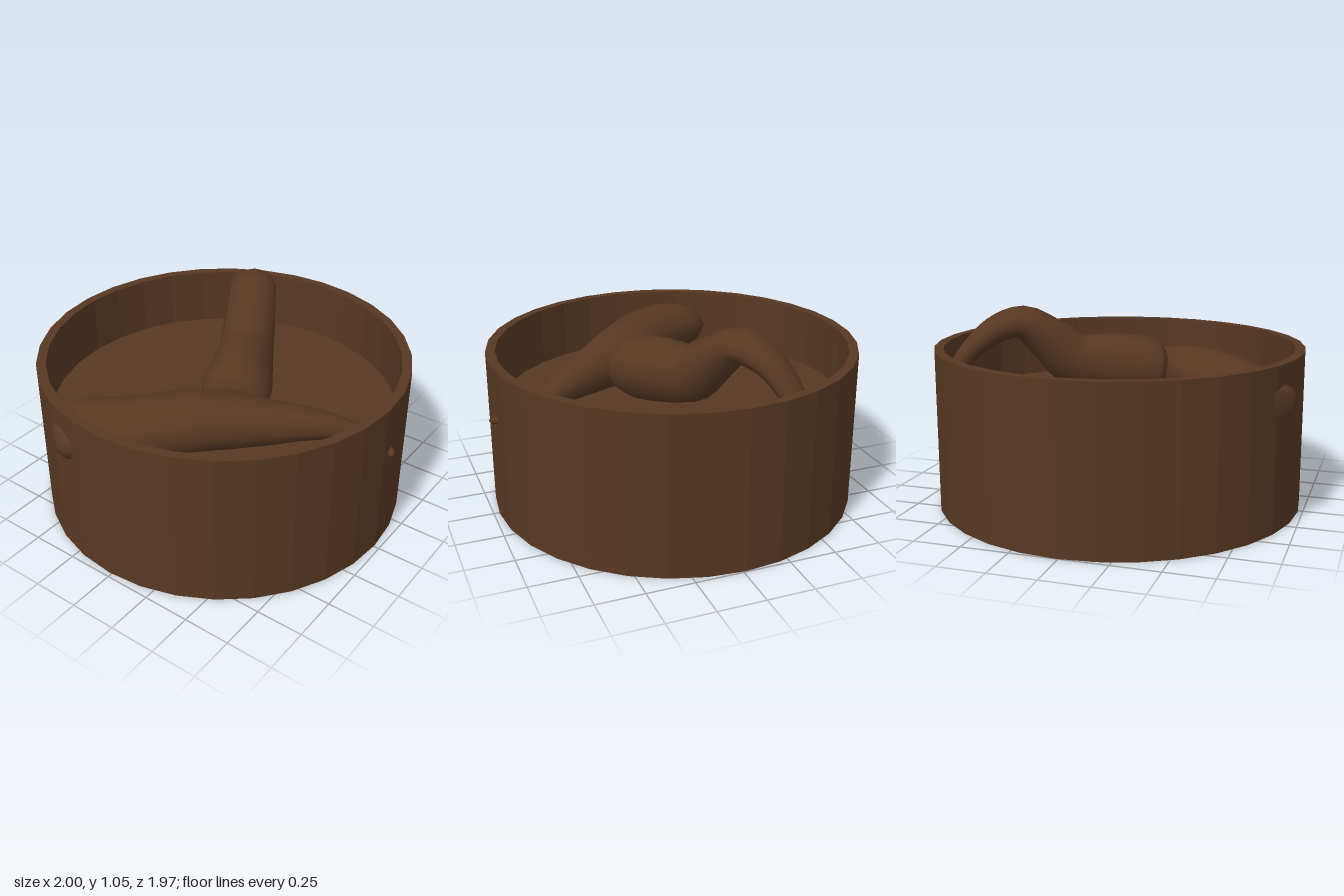
import * as THREE from 'three';

const SIDES = 12, STEPS = 40;

// Duplicates vertices so every face has its own normal
function faceted(geometry) {
  const g = geometry.toNonIndexed();
  g.computeVertexNormals();
  return g;
}

// Smooth horn through stations [x, y, z, halfWidth, halfHeight], listed base to tip
function hornGeometry(stations) {
  const path = new THREE.CatmullRomCurve3(stations.map(s => new THREE.Vector3(s[0], s[1], s[2])));
  const sizes = new THREE.CatmullRomCurve3(stations.map(s => new THREE.Vector3(s[3], s[4], 0)));
  const up = new THREE.Vector3(0, 1, 0);
  const pos = [], index = [];
  for (let i = 0; i <= STEPS; i++) {
    const u = i / STEPS;
    const c = path.getPoint(u), r = sizes.getPoint(u), t = path.getTangent(u);
    const side = new THREE.Vector3().crossVectors(up, t).normalize();
    const over = new THREE.Vector3().crossVectors(t, side);
    for (let j = 0; j < SIDES; j++) {
      const a = j / SIDES * Math.PI * 2;
      const p = c.clone()
        .addScaledVector(side, Math.cos(a) * Math.max(r.x, 0.005))
        .addScaledVector(over, Math.sin(a) * Math.max(r.y, 0.005));
      pos.push(p.x, p.y, p.z);
      if (i < STEPS) {
        const k = (j + 1) % SIDES, b = i * SIDES, n = b + SIDES;
        index.push(b + j, b + k, n + k, b + j, n + k, n + j);
      }
    }
  }
  // End caps
  const first = path.getPoint(0), last = path.getPoint(1), m = (STEPS + 1) * SIDES, e = STEPS * SIDES;
  pos.push(first.x, first.y, first.z, last.x, last.y, last.z);
  for (let j = 0; j < SIDES; j++) {
    const k = (j + 1) % SIDES;
    index.push(m, k, j, m + 1, e + j, e + k);
  }
  const g = new THREE.BufferGeometry();
  g.setAttribute('position', new THREE.Float32BufferAttribute(pos, 3));
  g.setIndex(index);
  g.computeVertexNormals();
  return g;
}

export function createModel() {
  const model = new THREE.Group();
  model.name = 'hornBowl';
  const brown = new THREE.MeshStandardMaterial({ color: 0x573822 });
  brown.name = 'darkBrown';

  const add = (name, geometry) => {
    const mesh = new THREE.Mesh(geometry, brown);
    mesh.name = name;
    model.add(mesh);
    return mesh;
  };

  // Round wall, open above and below the floor
  const R = 0.985, r = 0.935, H = 0.85;
  const profile = [[r, 0], [R, 0], [R, H], [r, H], [r, 0]].map(p => new THREE.Vector2(...p));
  add('wall', faceted(new THREE.LatheGeometry(profile, 32))).position.set(-0.015, 0, -0.01);

  // Floor set halfway up the wall
  add('floor', faceted(new THREE.CylinderGeometry(0.94, 0.94, 0.15, 32))).position.set(-0.015, 0.455, -0.01);

  // Long horn lying across the floor, both ends passing through the wall
  add('lyingHorn', hornGeometry([
    [-0.41, 0.66, 0.89, 0.13, 0.07],
    [-0.38, 0.66, 0.855, 0.185, 0.11],
    [-0.31, 0.66, 0.78, 0.2, 0.14],
    [-0.1, 0.67, 0.63, 0.2, 0.15],
    [0.09, 0.68, 0.43, 0.19, 0.15],
    [0.25, 0.67, 0.29, 0.165, 0.14],
    [0.4, 0.66, 0.18, 0.13, 0.115],
    [0.56, 0.65, 0.06, 0.095, 0.085],
    [0.77, 0.61, -0.075, 0.048, 0.045],
    [0.91, 0.58, -0.105, 0.026, 0.026],
    [0.97, 0.57, -0.075, 0.022, 0.018],
    [0.99, 0.565, -0.055, 0.012, 0.01],
  ]));

  // Arched horn rising from the floor and dipping to the back wall
  add('archedHorn', hornGeometry([
    [0.175, 0.68, 0.185, 0.13, 0.1],
    [0.16, 0.685, 0.15, 0.175, 0.15],
    [0.12, 0.7, 0.06, 0.185, 0.175],
    [0.06, 0.715, -0.06, 0.17, 0.175],
    [-0.04, 0.75, -0.25, 0.15, 0.15],
    [-0.11, 0.87, -0.38, 0.14, 0.12],
    [-0.18, 0.965, -0.5, 0.13, 0.09],
    [-0.25, 0.935, -0.62, 0.11, 0.075],
    [-0.31, 0.85, -0.72, 0.09, 0.06],
    [-0.35, 0.74, -0.8, 0.07, 0.05],
    [-0.37, 0.64, -0.84, 0.05, 0.04],
    [-0.375, 0.61, -0.85, 0.025, 0.02],
  ]));

  return model;
}
